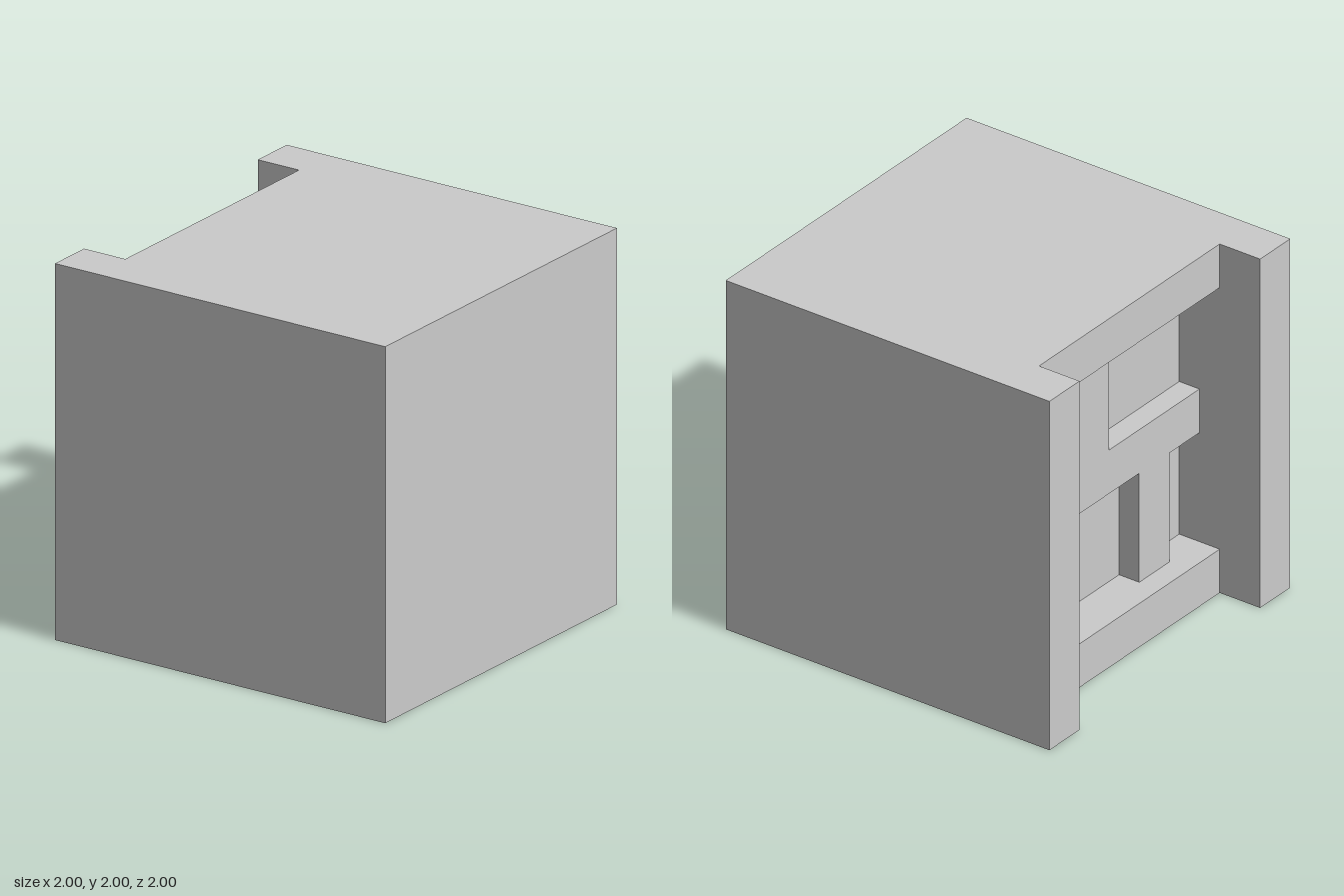
import * as THREE from 'three';

const material = new THREE.MeshStandardMaterial({ color: 0xcccccc, flatShading: true });

// Box spanning [x0, x1] x [y0, y1] x [z0, z1]
function block(name, [x0, x1], [y0, y1], [z0, z1]) {
  const mesh = new THREE.Mesh(new THREE.BoxGeometry(x1 - x0, y1 - y0, z1 - z0), material);
  mesh.name = name;
  mesh.position.set((x0 + x1) / 2, (y0 + y1) / 2, (z0 + z1) / 2);
  return mesh;
}

export function createModel() {
  const model = new THREE.Group();
  model.name = 'panelledBlock';

  // Main solid; its back face is the recessed panel
  const panelZ = -0.5;
  model.add(block('body', [-1, 1], [0, 2], [panelZ, 1]));

  // Full-height posts at both back corners
  model.add(block('leftPost', [0.75, 1], [0, 2], [-1, panelZ]));
  model.add(block('rightPost', [-1, -0.75], [0, 2], [-1, panelZ]));

  // Top and bottom beams, set in from the posts
  const beamZ = [-0.75, panelZ];
  model.add(block('topBeam', [-0.75, 0.75], [1.75, 2], beamZ));
  model.add(block('bottomBeam', [-0.75, 0.75], [0, 0.25], beamZ));

  // Shallow lattice on the panel: a cross rail and two offset uprights
  const latticeZ = [-0.625, panelZ];
  model.add(block('crossRail', [-0.75, 0.75], [0.875, 1.125], latticeZ));
  model.add(block('upperUpright', [0, 0.25], [1.125, 1.75], latticeZ));
  model.add(block('lowerUpright', [-0.5, -0.25], [0.25, 0.875], latticeZ));

  return model;
}
